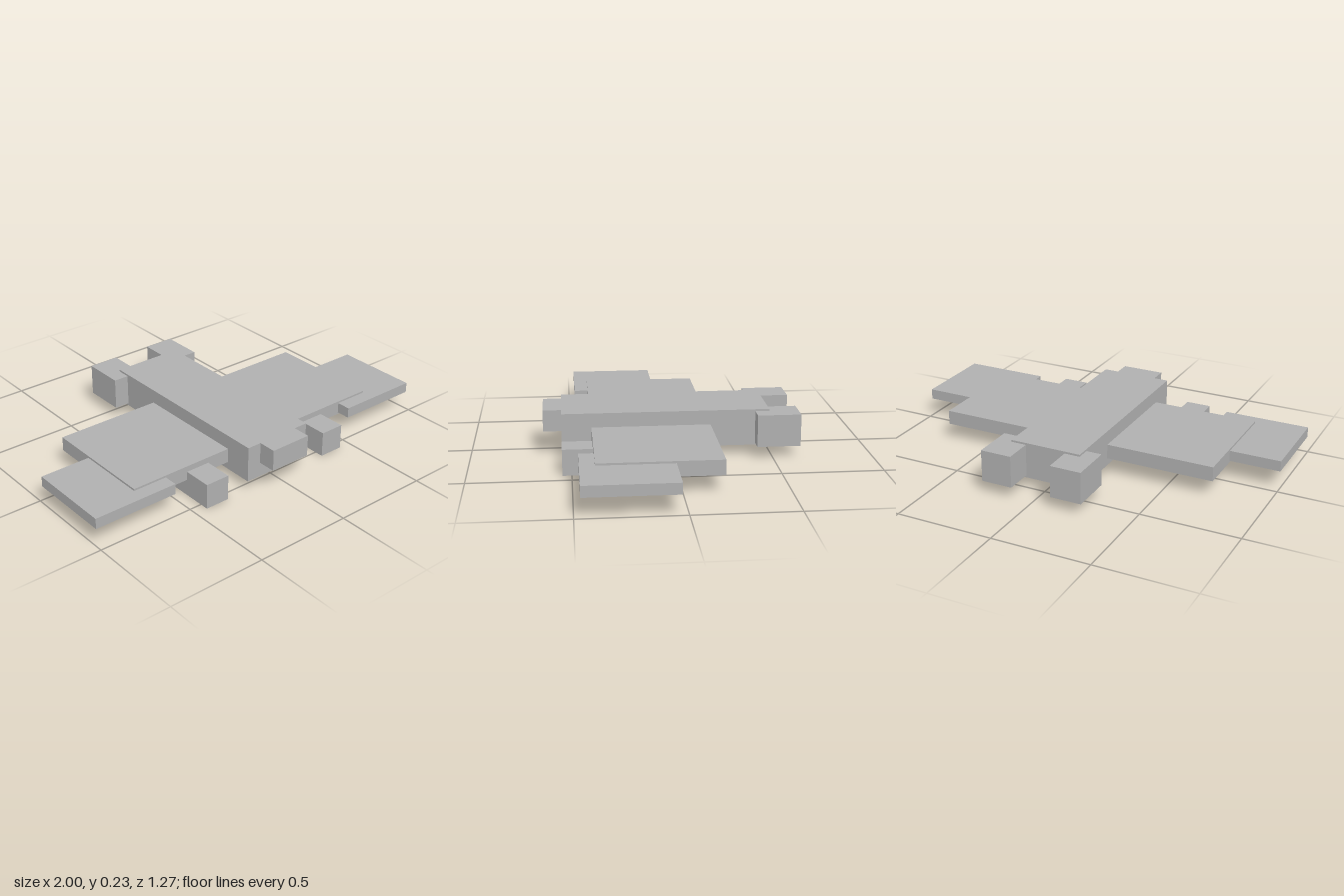
import * as THREE from 'three';

export function createModel() {
  const model = new THREE.Group();
  model.name = 'spacecraft';
  const hullGrey = new THREE.MeshStandardMaterial({ color: 0xb0b0b0 });
  hullGrey.name = 'hull grey';

  // Box given by its [min, max] extents on each axis
  function block(name, [x0, x1], [y0, y1], [z0, z1]) {
    const mesh = new THREE.Mesh(new THREE.BoxGeometry(x1 - x0, y1 - y0, z1 - z0), hullGrey);
    mesh.position.set((x0 + x1) / 2, (y0 + y1) / 2, (z0 + z1) / 2);
    mesh.name = name;
    model.add(mesh);
  }

  // Same box on the left (+x) and right (-x)
  function pair(name, [x0, x1], y, z) {
    block('left' + name, [x0, x1], y, z);
    block('right' + name, [-x1, -x0], y, z);
  }

  // Central hull and nose
  block('fuselage', [-0.185, 0.185], [0.048, 0.232], [-0.49, 0.545]);
  block('nose', [-0.11, 0.11], [0.123, 0.232], [0.42, 0.637]);

  // Wings, tips, underslung pods and rear thrusters
  block('wing', [-0.74, 0.74], [0.086, 0.16], [-0.195, 0.398]);
  pair('WingTip', [0.56, 1], [0.096, 0.15], [0.03, 0.47]);
  pair('Pod', [0.307, 0.435], [0, 0.13], [0.105, 0.545]);
  pair('Thruster', [0.105, 0.265], [0.06, 0.222], [-0.637, -0.42]);

  return model;
}
